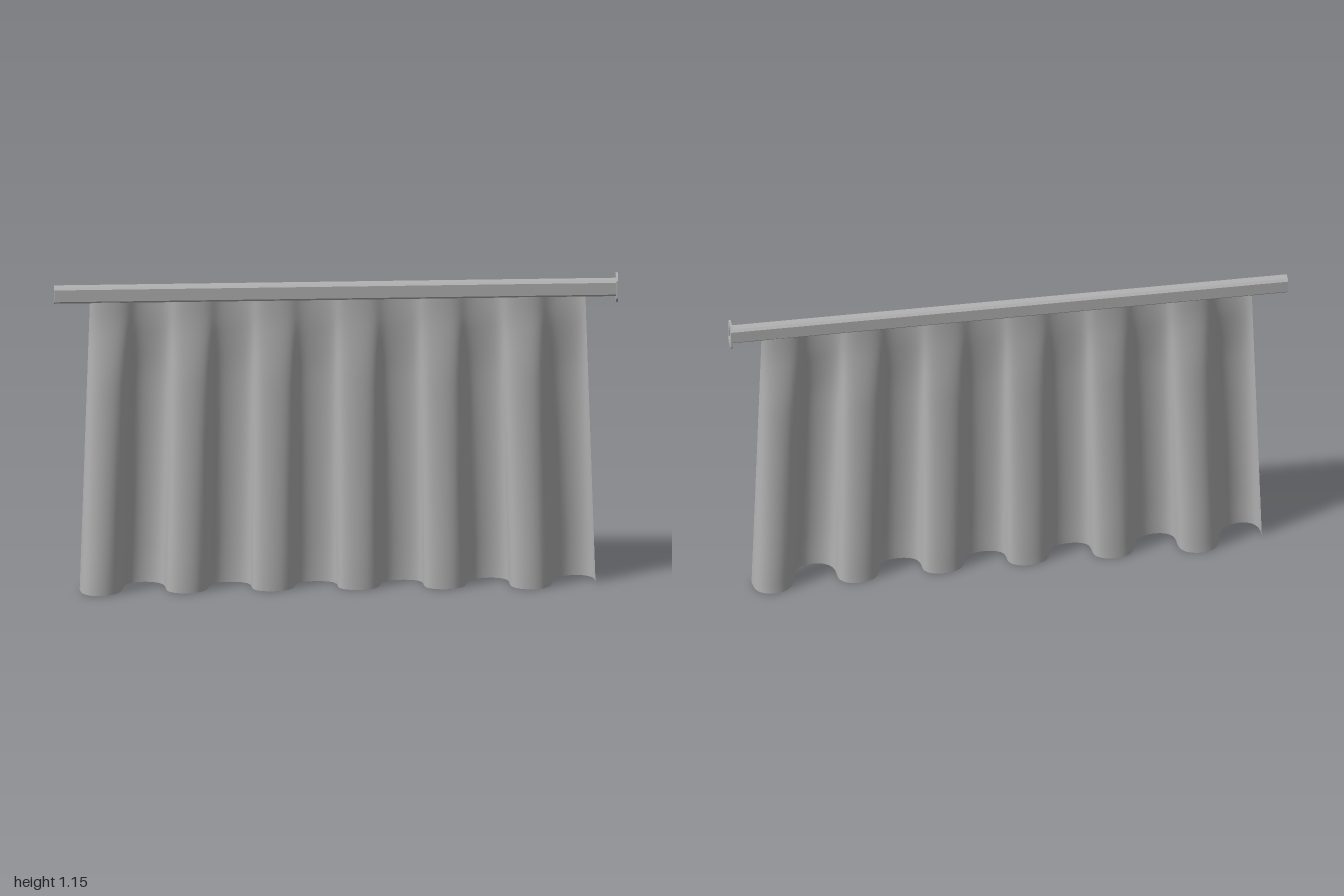
import * as THREE from 'three';

const fabricGrey = new THREE.MeshStandardMaterial({ color: 0xb2b2b2, side: THREE.DoubleSide });
fabricGrey.name = 'soft grey';

// Rectangle outline with chamfered corners
function chamferedRect(target, w, h, c) {
  const x = w / 2, y = h / 2;
  const points = [[x, c - y], [x, y - c], [x - c, y], [c - x, y], [-x, y - c], [-x, c - y], [c - x, -y], [x - c, -y]];
  return target.setFromPoints(points.map(p => new THREE.Vector2(...p)));
}

// Hollow bar running along x from x0 to x1
function hollowBar(name, w, h, chamfer, x0, x1) {
  const shape = chamferedRect(new THREE.Shape(), w, h, chamfer);
  shape.holes.push(chamferedRect(new THREE.Path(), 0.034, 0.05, 0.005));
  const geometry = new THREE.ExtrudeGeometry(shape, { depth: x1 - x0, bevelEnabled: false });
  geometry.rotateY(Math.PI / 2).translate(x0, 1.101, 0);
  const mesh = new THREE.Mesh(geometry, fabricGrey);
  mesh.name = name;
  return mesh;
}

// Fold depth relative to the hem, by height
const depthProfile = [[0, 1], [0.1, 0.97], [0.8, 0.5], [1.0, 0.22], [1.09, 0.2]];
function foldDepth(y) {
  let i = 1;
  while (i < depthProfile.length - 1 && y > depthProfile[i][0]) i++;
  const [y0, f0] = depthProfile[i - 1], [y1, f1] = depthProfile[i];
  return THREE.MathUtils.mapLinear(y, y0, y1, f0, f1);
}

// Six rounded folds that flatten and gather towards the rail
function makeCurtain() {
  const height = 1.09, folds = 6, width = 1.83;
  const geometry = new THREE.PlaneGeometry(1, 1, folds * 32, 24);
  const pos = geometry.attributes.position;
  for (let i = 0; i < pos.count; i++) {
    const u = pos.getX(i), y = (pos.getY(i) + 0.5) * height;
    const angle = (u + 0.5) * folds * Math.PI * 2;
    const f = foldDepth(y), round = Math.sqrt(f);
    const amplitude = (0.053 + 0.042 * (u * width) ** 2) * f;
    const x = u * width - round * (0.02 * Math.sin(2 * angle) + 0.005 * Math.sin(angle));
    const gather = 1 - 0.04 * y / height;
    pos.setXYZ(i, 0.006 + x * gather, y, amplitude * Math.sin(angle));
  }
  geometry.computeVertexNormals();
  const mesh = new THREE.Mesh(geometry, fabricGrey);
  mesh.name = 'curtain';
  return mesh;
}

export function createModel() {
  const model = new THREE.Group();
  model.name = 'curtainOnRail';
  model.add(
    hollowBar('rail', 0.042, 0.06, 0.008, -1, 0.994),
    hollowBar('endFlange', 0.072, 0.1, 0.018, 0.993, 1),
    makeCurtain()
  );
  return model;
}
